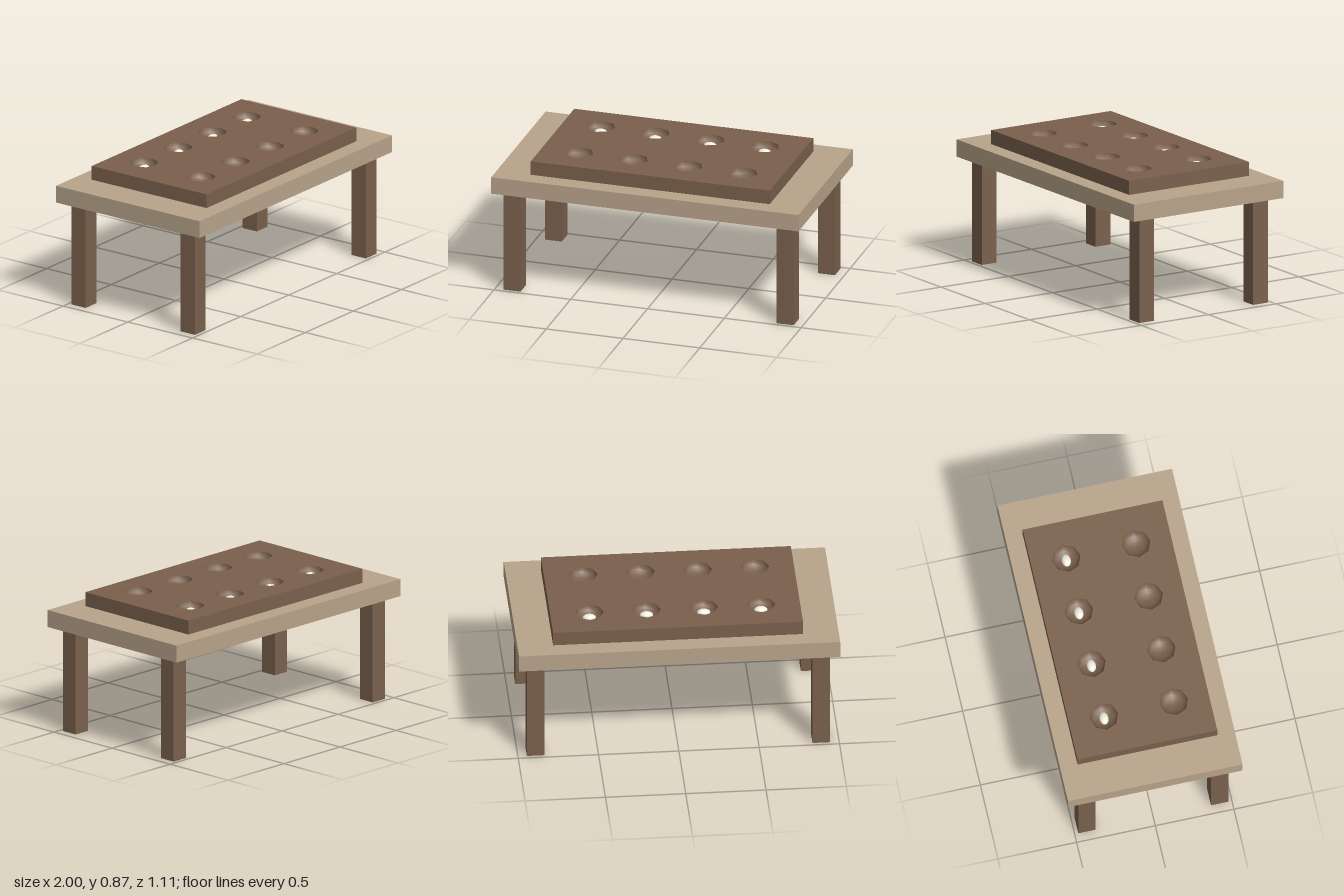
import * as THREE from 'three';

const tan = new THREE.MeshStandardMaterial({ color: 0xb8a38a });
const brown = new THREE.MeshStandardMaterial({ color: 0x7a604c });
const ivory = new THREE.MeshStandardMaterial({ color: 0xf0eee0 });

const PIT_R = 0.09, PIT_DEPTH = 0.06, BOARD_TOP = 0.87;

export function createModel() {
  const group = new THREE.Group();
  const add = (name, geometry, material, x, y, z) => {
    const mesh = new THREE.Mesh(geometry, material);
    mesh.name = name;
    mesh.position.set(x, y, z);
    group.add(mesh);
    return mesh;
  };

  // Table top and four square legs
  add('tableTop', new THREE.BoxGeometry(2, 0.11, 1.11), tan, 0, 0.724, 0);
  const legGeometry = new THREE.BoxGeometry(0.11, 0.67, 0.11);
  for (const x of [-0.889, 0.889])
    for (const z of [-0.422, 0.422]) add('leg', legGeometry, brown, x, 0.335, z);

  // Pit centres: four columns, two rows
  const pits = [];
  for (const z of [-0.222, 0.222])
    for (let i = 0; i < 4; i++) pits.push([(i - 1.5) * 0.356, z]);

  // Game board pierced by eight-sided holes
  const outline = new THREE.Shape();
  outline.moveTo(-0.778, -0.444).lineTo(0.778, -0.444).lineTo(0.778, 0.444).lineTo(-0.778, 0.444);
  for (const [x, z] of pits) {
    const corners = Array.from({ length: 8 }, (_, k) => new THREE.Vector2(
      x + PIT_R * Math.cos(k * Math.PI / 4), -z + PIT_R * Math.sin(k * Math.PI / 4)));
    outline.holes.push(new THREE.Path(corners).closePath());
  }
  const boardGeometry = new THREE.ExtrudeGeometry(outline, { depth: 0.09, bevelEnabled: false });
  boardGeometry.rotateX(-Math.PI / 2);
  add('board', boardGeometry, brown, 0, BOARD_TOP - 0.09, 0);

  // Rounded pit linings, rim to centre so that the inside faces up
  const profile = Array.from({ length: 7 }, (_, k) => {
    const a = k / 6 * Math.PI / 2;
    return new THREE.Vector2(k === 6 ? 0 : PIT_R * Math.cos(a), -PIT_DEPTH * Math.sin(a));
  });
  const pitGeometry = new THREE.LatheGeometry(profile, 8);

  // Oval playing pieces lie in the back row only
  const pieceGeometry = new THREE.SphereGeometry(1, 16, 12);
  for (const [x, z] of pits) {
    add('pit', pitGeometry, brown, x, BOARD_TOP, z);
    if (z < 0) add('playingPiece', pieceGeometry, ivory, x, BOARD_TOP - 0.038, z).scale.set(0.042, 0.022, 0.029);
  }
  return group;
}
